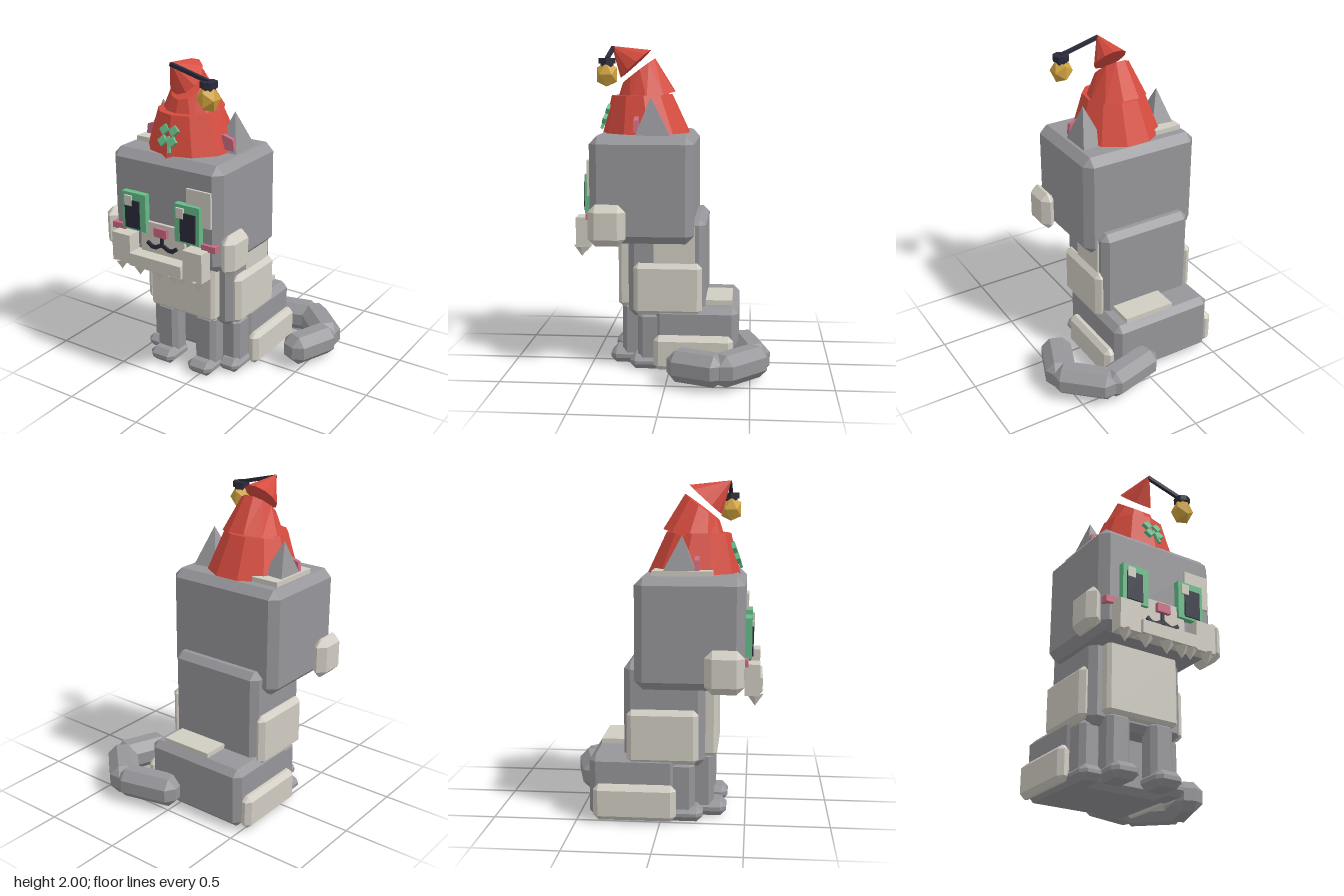
import * as THREE from 'three';
import { ConvexGeometry } from 'three/addons/geometries/ConvexGeometry.js';

const mat = (name, color) => {
  const m = new THREE.MeshStandardMaterial({ color });
  m.name = name;
  return m;
};

export function createModel() {
  const root = new THREE.Group();
  root.name = 'sittingCat';
  const gray = mat('gray fur', 0x96969a), cream = mat('cream fur', 0xd0ccc2);
  const red = mat('red felt', 0xd64b3e), green = mat('green', 0x66bb88);
  const pink = mat('pink', 0xca6c83), dark = mat('dark', 0x2b2b3b), gold = mat('gold', 0xd2a540);
  const CX = -0.145; // mirror plane of the body

  const add = (name, geo, material, parent = root) => {
    const m = new THREE.Mesh(geo, material);
    m.name = name;
    parent.add(m);
    return m;
  };
  const flat = (g) => {
    const f = g.index ? g.toNonIndexed() : g;
    f.computeVertexNormals();
    return f;
  };

  // Box with cut edges: three corner points per corner
  const chamfered = (w, h, d, c) => {
    const pts = [];
    for (const x of [-1, 1]) for (const y of [-1, 1]) for (const z of [-1, 1]) {
      const X = x * w / 2, Y = y * h / 2, Z = z * d / 2;
      pts.push(new THREE.Vector3(X, Y - y * c, Z - z * c),
        new THREE.Vector3(X - x * c, Y, Z - z * c),
        new THREE.Vector3(X - x * c, Y - y * c, Z));
    }
    return new ConvexGeometry(pts);
  };

  // Box given by its extents; c > 0 cuts the edges
  const block = (name, material, x, y, z, c = 0) => {
    const w = x[1] - x[0], h = y[1] - y[0], d = z[1] - z[0];
    const m = add(name, c ? chamfered(w, h, d, c) : new THREE.BoxGeometry(w, h, d), material);
    m.position.set((x[0] + x[1]) / 2, (y[0] + y[1]) / 2, (z[0] + z[1]) / 2);
    return m;
  };
  // Same on both sides; x is measured outwards from the mirror plane
  const pair = (name, material, x, y, z, c) => {
    block(name + 'Left', material, [CX + x[0], CX + x[1]], y, z, c);
    block(name + 'Right', material, [CX - x[1], CX - x[0]], y, z, c);
  };

  // Body
  block('haunches', gray, [-0.495, 0.205], [0.01, 0.4], [-0.425, 0.1], 0.04);
  block('torso', gray, [-0.46, 0.175], [0.33, 0.95], [-0.22, 0.26], 0.04);
  block('chest', cream, [-0.39, 0.095], [0.38, 0.82], [0.2, 0.33], 0.02);
  block('rumpPatch', cream, [-0.23, 0.11], [0.39, 0.43], [-0.385, -0.215]);
  block('shoulderPatch', cream, [0.16, 0.185], [0.5, 0.9], [-0.155, 0.1]);
  pair('flankPatch', cream, [0.29, 0.36], [0.35, 0.675], [-0.2, 0.225], 0.03);
  pair('haunchPatch', cream, [0.33, 0.41], [0.015, 0.23], [-0.395, 0.095], 0.03);

  // Legs and paws
  pair('frontLeg', gray, [0.07, 0.225], [0.03, 0.4], [0.17, 0.31], 0.03);
  pair('frontPaw', gray, [0.055, 0.235], [0, 0.095], [0.17, 0.385], 0.035);
  pair('hindLeg', gray, [0.2, 0.335], [0.02, 0.365], [0.04, 0.2], 0.03);
  pair('hindPaw', gray, [0.2, 0.355], [0, 0.09], [0.03, 0.25], 0.035);

  // Tail: overlapping segments along a bent path
  const tail = [[0.02, -0.455, 0.3, -0.525], [0.34, -0.525, 0.535, -0.34], [0.54, -0.295, 0.455, -0.08]];
  tail.forEach(([x0, z0, x1, z1], i) => {
    const seg = add('tailSegment' + (i + 1),
      chamfered(Math.hypot(x1 - x0, z1 - z0) + 0.13, 0.19, 0.19, 0.055), gray);
    seg.position.set((x0 + x1) / 2, 0.12, (z0 + z1) / 2);
    seg.rotation.y = -Math.atan2(z1 - z0, x1 - x0);
  });

  // Head
  block('head', gray, [-0.54, 0.25], [0.8, 1.46], [-0.15, 0.49], 0.05);
  pair('cheekTuft', cream, [0.375, 0.475], [0.795, 1.05], [0.26, 0.49], 0.045);
  block('browPatch', cream, [0.03, 0.2], [1.09, 1.31], [0.48, 0.505]);
  block('crownPatch', cream, [-0.48, -0.3], [1.45, 1.49], [-0.05, 0.3]);
  block('muzzle', cream, [-0.305, 0.015], [0.85, 1.045], [0.48, 0.51]);
  block('nose', pink, [-0.19, -0.1], [0.97, 1.025], [0.5, 0.535]);
  pair('blush', pink, [0.28, 0.38], [0.948, 0.988], [0.46, 0.51]);

  // Eyes
  pair('iris', green, [0.107, 0.282], [0.976, 1.215], [0.48, 0.53]);
  pair('pupil', dark, [0.15, 0.257], [0.99, 1.167], [0.53, 0.538]);
  for (const x of [-0.4, -0.02]) block('eyeGlint', cream, [x, x + 0.052], [1.132, 1.195], [0.53, 0.543]);

  // Mouth
  block('mouthStem', dark, [CX - 0.012, CX + 0.012], [0.9, 0.972], [0.505, 0.52]);
  for (const s of [-1, 1]) {
    [[0.03, 0.902, -0.5], [0.062, 0.893, 0], [0.092, 0.905, 0.6]].forEach(([x, y, r]) => {
      const bar = add('mouthCurve', new THREE.BoxGeometry(0.042, 0.024, 0.015), dark);
      bar.position.set(CX + s * x, y, 0.514);
      bar.rotation.z = s * r;
    });
  }

  // Beard with pointed tufts
  pair('beardSide', cream, [0.195, 0.33], [0.77, 0.955], [0.49, 0.58]);
  block('beard', cream, [-0.335, 0.045], [0.77, 0.85], [0.49, 0.595]);
  [[-0.43, 0.74], [-0.29, 0.735], [-0.145, 0.735], [-0.04, 0.735], [0.02, 0.74], [0.14, 0.74]].forEach(([x, y]) => {
    const tuft = add('beardTuft', flat(new THREE.ConeGeometry(0.05, 0.07, 4)), cream);
    tuft.position.set(x, y, 0.55);
    tuft.rotation.x = Math.PI;
  });

  // Ears
  for (const s of [-1, 1]) {
    const X = (x) => CX + s * (x - CX);
    const corners = [[0.02, 1.45, 0.01], [0.185, 1.45, -0.005], [0.185, 1.45, 0.215],
      [0.02, 1.45, 0.215], [0.118, 1.69, 0.12]];
    add('ear', new ConvexGeometry(corners.map(([x, y, z]) => new THREE.Vector3(X(x), y, z))), gray);
    const inner = [[0.07, 1.48], [0.175, 1.48], [0.165, 1.55], [0.095, 1.57]];
    add('innerEar', new ConvexGeometry(inner.flatMap(([x, y]) =>
      [0.195, 0.222].map((z) => new THREE.Vector3(X(x), y, z)))), pink);
  }

  // Hat: three stacked tiers, each between two tilted rings [y, z, radius, slope]
  const tier = (name, low, high) => {
    const g = new THREE.CylinderGeometry(1, 1, 1, 11);
    const p = g.attributes.position;
    for (let i = 0; i < p.count; i++) {
      const [y, z, r, slope] = p.getY(i) > 0 ? high : low;
      const dz = p.getZ(i) * r;
      p.setXYZ(i, CX + p.getX(i) * r, y + dz * slope, z + dz);
    }
    add(name, flat(g), red);
  };
  tier('hatBrim', [1.445, 0.17, 0.285, 0], [1.695, 0.2, 0.195, -0.02]);
  tier('hatMiddle', [1.665, 0.18, 0.195, -0.27], [1.845, 0.22, 0.105, -0.75]);
  tier('hatTip', [1.89, 0.24, 0.098, -0.9], [2, 0.39, 0.003, 0]);

  // Cord and bell
  const cord = add('cord', new THREE.BoxGeometry(0.275, 0.022, 0.022), dark);
  cord.position.set(-0.015, 1.955, 0.385);
  cord.rotation.z = -0.25;
  const cap = add('bellCap', flat(new THREE.CylinderGeometry(0.052, 0.052, 0.035, 8)), dark);
  cap.position.set(0.115, 1.908, 0.385);
  const neck = add('bellNeck', flat(new THREE.CylinderGeometry(0.04, 0.04, 0.03, 8)), dark);
  neck.position.set(0.115, 1.88, 0.385);
  const bell = add('bell', new THREE.IcosahedronGeometry(0.075, 0), gold);
  bell.position.set(0.113, 1.825, 0.387);
  bell.scale.set(0.95, 1.1, 0.95);

  // Clover on the hat
  const clover = new THREE.Group();
  clover.name = 'clover';
  clover.position.set(CX, 1.575, 0.425);
  clover.rotation.x = -0.35;
  root.add(clover);
  for (const x of [-1, 1]) for (const y of [-1, 1]) {
    const leaf = add('cloverLeaf', new THREE.BoxGeometry(0.05, 0.046, 0.022), green, clover);
    leaf.position.set(x * 0.033, y * 0.033, 0);
    leaf.rotation.z = Math.PI / 4;
  }
  const stem = add('cloverStem', new THREE.BoxGeometry(0.016, 0.1, 0.018), green, clover);
  stem.position.set(0.014, -0.05, 0);
  stem.rotation.z = 0.28;

  return root;
}
